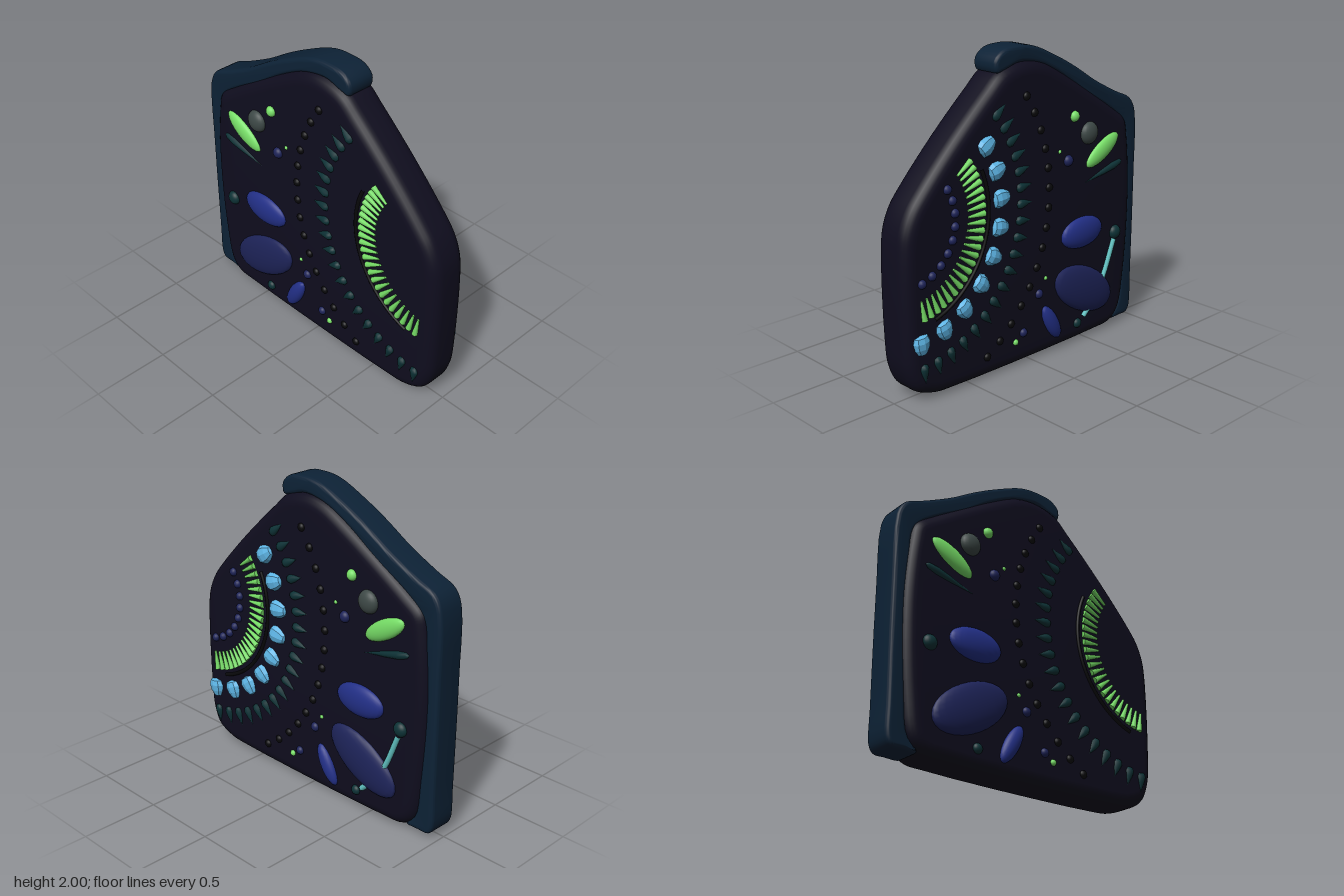
import * as THREE from 'three';
import { toCreasedNormals } from 'three/addons/utils/BufferGeometryUtils.js';

const COLORS = {
  body: 0x0f0d1e, rim: 0x0d2236, green: 0x76dc66, blue: 0x222f86, navy: 0x1d2358,
  sky: 0x5db4e4, teal: 0x0d3236, grey: 0x3d4846, black: 0x08080a, cyan: 0x62c4c4,
};
const material = {};
for (const k in COLORS) material[k] = new THREE.MeshStandardMaterial({ color: COLORS[k] });
material.skyFlat = new THREE.MeshStandardMaterial({ color: COLORS.sky, flatShading: true });

const FACE = 0.135;                       // half thickness of the slab
const FAN = { u: -0.963, y: 1.08 };       // centre of the radiating pattern
const rad = THREE.MathUtils.degToRad;

function add(parent, name, geometry, mat) {
  const mesh = new THREE.Mesh(geometry, mat);
  mesh.name = name;
  parent.add(mesh);
  return mesh;
}

// Smooth closed outline extruded to a rounded slab, centred on its thickness
function slab(points, halfDepth, bevelThickness, bevelSize) {
  const curve = new THREE.CatmullRomCurve3(points.map(([u, y]) => new THREE.Vector3(u, y, 0)), true, 'centripetal');
  const outline = curve.getPoints(110).slice(0, -1).map(p => new THREE.Vector2(p.x, p.y));
  const depth = 2 * (halfDepth - bevelThickness);
  const g = new THREE.ExtrudeGeometry(new THREE.Shape(outline), {
    depth, bevelThickness, bevelSize, bevelOffset: -bevelSize, bevelSegments: 6, curveSegments: 1,
  });
  g.translate(0, 0, -depth / 2);
  return toCreasedNormals(g, 0.7);
}

export function createModel() {
  const root = new THREE.Group();
  root.name = 'decoratedSlab';
  const model = new THREE.Group();        // local x runs backwards, local z points to +x
  model.rotation.y = Math.PI / 2;
  root.add(model);

  // Main slab
  add(model, 'body', slab([
    [-0.99, 0.4], [-0.99, 0.95], [-0.97, 1.07], [-0.92, 1.18], [-0.84, 1.28], [-0.6, 1.53], [-0.34, 1.77],
    [-0.22, 1.87], [-0.05, 1.91], [0.1, 1.89], [0.3, 1.79], [0.75, 1.51], [0.87, 1.42], [0.9, 1.3],
    [0.93, 0.9], [0.9, 0.35], [0.85, 0.1], [0.76, 0.02], [0.6, 0.005], [-0.6, 0.005],
    [-0.78, 0.02], [-0.91, 0.08], [-0.97, 0.2],
  ], FACE, 0.08, 0.08), material.body);

  // Rim along the top and the back
  add(model, 'rim', slab([
    [-0.25, 1.86], [-0.26, 1.93], [-0.2, 1.985], [-0.08, 2], [0.05, 1.985], [0.25, 1.9], [0.42, 1.81], [0.6, 1.7],
    [0.8, 1.6], [0.93, 1.54], [0.98, 1.45], [0.99, 1], [0.985, 0.3], [0.98, 0.08], [0.95, 0.035],
    [0.88, 0.03], [0.78, 0.035], [0.85, 0.12], [0.88, 0.4], [0.905, 0.9], [0.885, 1.2], [0.87, 1.36],
    [0.81, 1.44], [0.68, 1.53], [0.5, 1.63], [0.3, 1.77], [0.1, 1.87], [-0.07, 1.9], [-0.18, 1.87],
  ], 0.1, 0.025, 0.025), material.rim);

  const ball = new THREE.SphereGeometry(1, 24, 14);
  const bead = new THREE.SphereGeometry(1, 14, 10);
  const spike = new THREE.CylinderGeometry(0.007, 0.02, 0.125, 8);
  // Teardrop thorn and blunt faceted tooth, both pointing along +y
  const profile = pts => pts.map(([r, y]) => new THREE.Vector2(r, y));
  const thorn = new THREE.LatheGeometry(profile([[0, -0.06], [0.022, -0.053], [0.03, -0.03], [0.022, 0.005], [0, 0.065]]), 10);
  const tooth = new THREE.LatheGeometry(profile([[0, -0.062], [0.047, -0.052], [0.06, -0.02], [0.052, 0.02], [0.03, 0.058], [0, 0.066]]), 8);

  for (const side of [1, -1]) {
    const face = new THREE.Group();
    face.name = side > 0 ? 'leftFace' : 'rightFace';
    model.add(face);

    // Evenly spaced copies on an arc around the fan centre
    const fan = (name, geometry, mat, r, count, from, to, lift, scale, turn = -90) => {
      for (let i = 0; i < count; i++) {
        const a = rad(from + (to - from) * i / (count - 1));
        const m = add(face, name, geometry, mat);
        m.position.set(FAN.u + r * Math.cos(a), FAN.y + r * Math.sin(a), side * (FACE + lift));
        m.rotation.z = a + rad(turn);
        m.scale.set(...scale);
      }
    };
    fan('greenSpike', spike, material.green, 0.5, 23, 35, -80, 0.005, [1, 1, 1], 90);
    fan('tealThorn', thorn, material.teal, 0.89, 19, 39.4, -84, 0, [1, 1, 0.8]);
    fan('blackBead', bead, material.black, 1.103, 15, 34.6, -58.3, 0, [0.026, 0.026, 0.02]);
    if (side > 0) {
      fan('blueTooth', tooth, material.skyFlat, 0.702, 9, 33, -84, 0, [1, 1, 0.65]);
      fan('blueFanBead', bead, material.navy, 0.34, 9, 33, -75.5, 0.002, [0.028, 0.028, 0.025]);
    }

    // Thin dark ridge outside the spikes
    const ridge = add(face, 'arcRidge', new THREE.TorusGeometry(0.6, 0.012, 8, 40, rad(98)), material.black);
    ridge.position.set(FAN.u, FAN.y, side * FACE);
    ridge.rotation.z = rad(-73);

    // Scattered pebbles: name, colour, u, y, half length, half width, half depth, angle
    for (const [name, color, u, y, a, b, d, angle] of [
      ['greenPebble', 'green', 0.358, 1.517, 0.035, 0.035, 0.03, 0],
      ['greyPebble', 'grey', 0.49, 1.39, 0.072, 0.072, 0.045, 0],
      ['greenOval', 'green', 0.618, 1.257, 0.165, 0.06, 0.035, 30],
      ['greenSpeck', 'green', 0.23, 1.315, 0.012, 0.012, 0.012, 0],
      ['bluePebble', 'navy', 0.305, 1.245, 0.036, 0.036, 0.03, 0],
      ['blueOval', 'blue', 0.438, 0.748, 0.185, 0.103, 0.05, 0],
      ['largeOval', 'navy', 0.464, 0.355, 0.29, 0.145, 0.05, -28],
      ['narrowOval', 'blue', 0.167, 0.207, 0.14, 0.052, 0.04, -60],
      ['tealPebble', 'teal', 0.756, 0.674, 0.047, 0.047, 0.035, 0],
      ['tealPebble', 'teal', 0.41, 0.127, 0.032, 0.032, 0.025, 0],
      ['greenSpeck', 'green', 0.114, 0.52, 0.013, 0.013, 0.012, 0],
      ['bluePebble', 'navy', 0.056, 0.43, 0.03, 0.03, 0.025, 0],
      ['bluePebble', 'navy', -0.08, 0.21, 0.028, 0.028, 0.025, 0],
      ['greenPebble', 'green', -0.146, 0.164, 0.02, 0.02, 0.018, 0],
    ]) {
      const m = add(face, name, ball, material[color]);
      m.position.set(u, y, side * FACE);
      m.scale.set(a, b, d);
      m.rotation.z = rad(angle);
    }

    // Long thorn below the green oval, tip towards the front
    const long = add(face, 'longThorn', thorn, material.teal);
    long.position.set(0.64, 1.113, side * FACE);
    long.rotation.z = rad(104);
    long.rotation.z += Math.PI;
    long.scale.set(0.85, 2.85, 0.7);
    long.rotation.z -= Math.PI;
  }

  // Curved stick that passes beneath the large oval
  const path = new THREE.CatmullRomCurve3(
    [[0.745, 0.63], [0.64, 0.38], [0.55, 0.25], [0.46, 0.16]].map(([u, y]) => new THREE.Vector3(u, y, FACE + 0.004)));
  add(model, 'curvedStick', new THREE.TubeGeometry(path, 24, 0.018, 8), material.cyan);

  return root;
}
